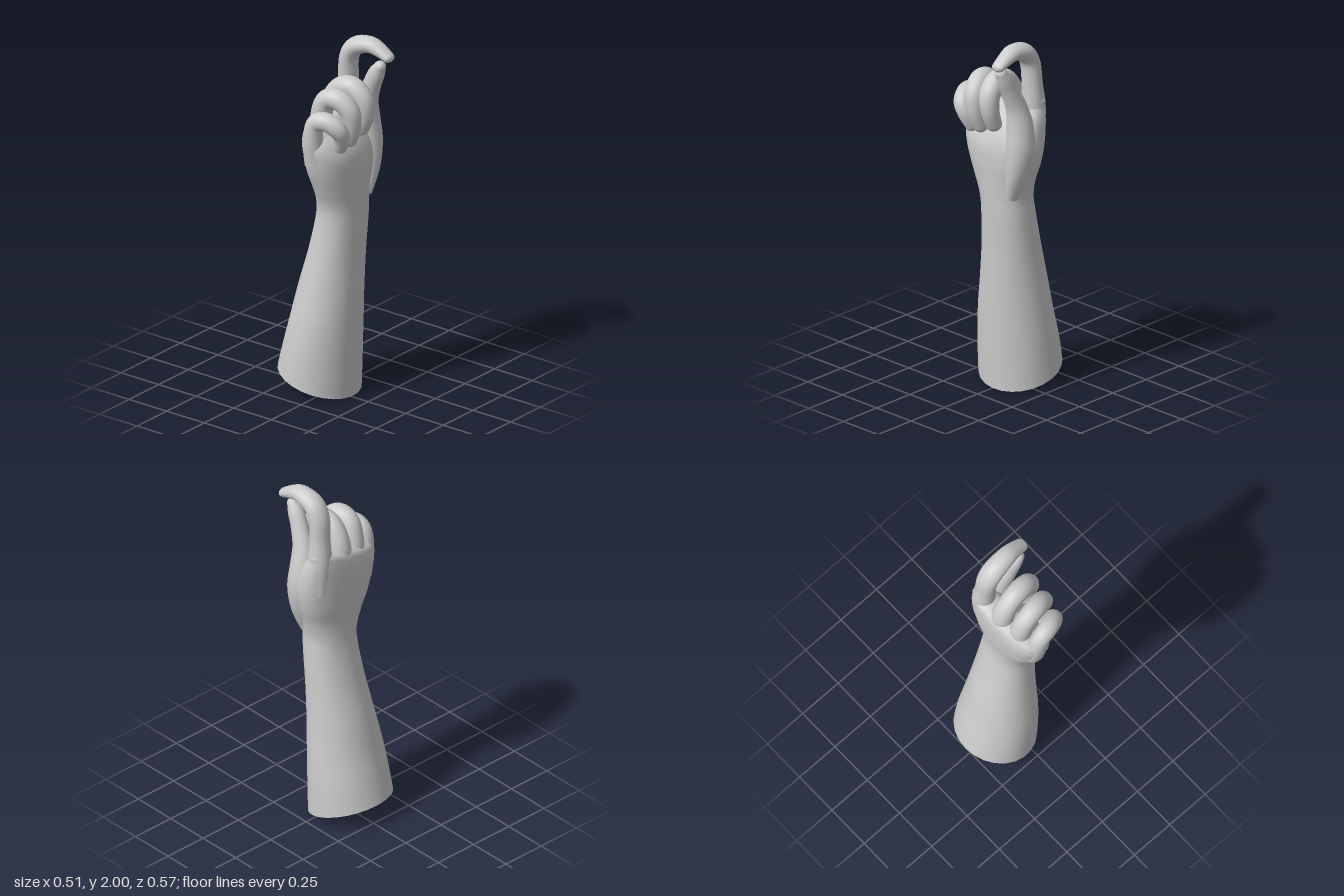
import * as THREE from 'three';

const SIDES = 24;
const skin = new THREE.MeshStandardMaterial({ color: 0xcccccc, side: THREE.DoubleSide });

// Smoothly interpolates rows of numbers, column by column
function smoothRows(rows, steps) {
  const out = [];
  const last = rows.length - 1;
  for (let s = 0; s <= steps; s++) {
    const u = (s / steps) * last;
    const i = Math.min(Math.floor(u), last - 1);
    const t = u - i;
    const p = (k) => rows[Math.max(0, Math.min(last, k))];
    out.push(rows[0].map((_, c) => {
      const a = p(i - 1)[c], b = p(i)[c], d = p(i + 1)[c], e = p(i + 2)[c];
      const m0 = (d - a) / 2, m1 = (e - b) / 2;
      const t2 = t * t, t3 = t2 * t;
      return (2 * t3 - 3 * t2 + 1) * b + (t3 - 2 * t2 + t) * m0 + (3 * t2 - 2 * t3) * d + (t3 - t2) * m1;
    }));
  }
  return out;
}

// Skins a list of closed rings with shared vertices
function loft(name, rings) {
  const pos = [], index = [];
  rings.forEach((ring) => ring.forEach((v) => pos.push(v.x, v.y, v.z)));
  for (let r = 0; r < rings.length - 1; r++) {
    for (let i = 0; i < SIDES; i++) {
      const a = r * SIDES + i, b = r * SIDES + (i + 1) % SIDES;
      index.push(a, b, a + SIDES, b, b + SIDES, a + SIDES);
    }
  }
  const g = new THREE.BufferGeometry();
  g.setAttribute('position', new THREE.Float32BufferAttribute(pos, 3));
  g.setIndex(index);
  g.computeVertexNormals();
  const mesh = new THREE.Mesh(g, skin);
  mesh.name = name;
  return mesh;
}

// Rounded digit swept along rows of [x, y, z, half width, half thickness]
function digit(name, rows) {
  const pts = smoothRows(rows, 30);
  const centre = pts.map((p) => new THREE.Vector3(p[0], p[1], p[2]));
  const rings = [];
  const addRing = (c, T, w, h) => {
    const side = new THREE.Vector3(1, 0, 0).addScaledVector(T, -T.x).normalize();
    const n = new THREE.Vector3().crossVectors(T, side);
    const ring = [];
    for (let i = 0; i < SIDES; i++) {
      const a = (i / SIDES) * Math.PI * 2;
      ring.push(c.clone().addScaledVector(side, Math.cos(a) * w).addScaledVector(n, Math.sin(a) * h));
    }
    rings.push(ring);
  };
  let T;
  pts.forEach((p, i) => {
    T = centre[Math.min(i + 1, 30)].clone().sub(centre[Math.max(i - 1, 0)]).normalize();
    addRing(centre[i], T, p[3], p[4]);
  });
  // Domed fingertip
  const [, , , w, h] = pts[30];
  for (let k = 1; k <= 5; k++) {
    const a = (k / 5) * Math.PI / 2;
    addRing(centre[30].clone().addScaledVector(T, Math.sin(a) * h), T, w * Math.cos(a), h * Math.cos(a));
  }
  return loft(name, rings);
}

// Forearm, wrist and palm from rows of
// [y, left x, right x, back z, front z, slope in x, slope in z, squareness]
function armAndPalm() {
  const rows = [
    [0.07, -0.23, 0.23, -0.285, 0.14, -0.05, -0.31, 2],
    [0.24, -0.222, 0.225, -0.255, 0.148, 0, -0.12, 2],
    [0.42, -0.203, 0.213, -0.215, 0.155, 0, 0, 2],
    [0.6, -0.172, 0.2, -0.175, 0.16, 0, 0, 2],
    [0.8, -0.14, 0.19, -0.12, 0.163, 0, 0, 2.1],
    [1.0, -0.12, 0.183, -0.073, 0.175, 0, 0, 2.2],
    [1.1, -0.127, 0.18, -0.06, 0.18, 0, 0, 2.2],
    [1.2, -0.163, 0.198, -0.06, 0.185, 0, 0, 2.3],
    [1.3, -0.203, 0.23, -0.073, 0.19, 0, 0, 2.4],
    [1.4, -0.227, 0.248, -0.08, 0.185, 0.05, 0, 2.4],
    [1.49, -0.24, 0.242, -0.082, 0.15, 0.15, 0, 2.4],
    [1.56, -0.235, 0.222, -0.078, 0.1, 0.25, 0, 2.4],
    [1.61, -0.2, 0.2, -0.06, 0.06, 0.28, 0, 2.3],
    [1.63, 0, 0, 0, 0, 0.28, 0, 2],
  ];
  const rings = smoothRows(rows, 65).map(([y, x0, x1, z0, z1, sx, sz, e]) => {
    const ring = [];
    const soft = (v) => Math.sign(v) * Math.pow(Math.abs(v), 2 / e);
    for (let i = 0; i < SIDES; i++) {
      const a = (i / SIDES) * Math.PI * 2;
      const dx = soft(Math.cos(a)) * (x1 - x0) / 2;
      const dz = -soft(Math.sin(a)) * (z1 - z0) / 2;
      const x = (x0 + x1) / 2 + dx;
      ring.push(new THREE.Vector3(x, y + sx * x + sz * dz, (z0 + z1) / 2 + dz - sx * 0.3 * x));
    }
    return ring;
  });
  return loft('forearmAndPalm', rings);
}

export function createModel() {
  const model = new THREE.Group();
  model.name = 'hand';
  model.add(armAndPalm());

  // Index finger, raised and hooked forward
  model.add(digit('indexFinger', [
    [0.16, 1.42, 0.0, 0.06, 0.06],
    [0.158, 1.6, -0.008, 0.064, 0.064],
    [0.153, 1.74, -0.002, 0.058, 0.053],
    [0.148, 1.86, 0.008, 0.06, 0.049],
    [0.148, 1.93, 0.055, 0.06, 0.05],
    [0.153, 1.955, 0.14, 0.053, 0.044],
    [0.158, 1.94, 0.2, 0.046, 0.036],
    [0.16, 1.91, 0.26, 0.038, 0.026],
  ]));

  // Three curled fingers
  model.add(digit('middleFinger', [
    [0.02, 1.46, 0.0, 0.06, 0.06],
    [0.015, 1.62, -0.005, 0.062, 0.062],
    [0.015, 1.73, 0.045, 0.055, 0.055],
    [0.022, 1.755, 0.125, 0.057, 0.056],
    [0.032, 1.7, 0.19, 0.056, 0.056],
    [0.04, 1.61, 0.198, 0.05, 0.05],
    [0.043, 1.53, 0.172, 0.043, 0.043],
  ]));
  model.add(digit('ringFinger', [
    [-0.09, 1.42, 0.02, 0.06, 0.06],
    [-0.1, 1.57, 0.015, 0.06, 0.06],
    [-0.108, 1.7, 0.05, 0.054, 0.054],
    [-0.1, 1.725, 0.125, 0.056, 0.055],
    [-0.08, 1.67, 0.188, 0.054, 0.055],
    [-0.065, 1.58, 0.195, 0.048, 0.05],
    [-0.055, 1.495, 0.17, 0.041, 0.042],
  ]));
  model.add(digit('littleFinger', [
    [-0.18, 1.36, 0.04, 0.05, 0.06],
    [-0.198, 1.48, 0.04, 0.053, 0.056],
    [-0.208, 1.6, 0.06, 0.049, 0.05],
    [-0.2, 1.63, 0.12, 0.051, 0.05],
    [-0.175, 1.595, 0.18, 0.048, 0.05],
    [-0.145, 1.54, 0.188, 0.043, 0.045],
    [-0.125, 1.475, 0.165, 0.036, 0.038],
  ]));

  // Thumb rising from the ball of the hand to meet the index finger
  model.add(digit('thumb', [
    [0.13, 1.12, 0.12, 0.035, 0.045],
    [0.165, 1.26, 0.115, 0.06, 0.072],
    [0.178, 1.4, 0.105, 0.076, 0.085],
    [0.17, 1.53, 0.105, 0.07, 0.075],
    [0.158, 1.64, 0.122, 0.054, 0.06],
    [0.148, 1.74, 0.16, 0.046, 0.05],
    [0.143, 1.81, 0.193, 0.042, 0.046],
    [0.14, 1.855, 0.218, 0.034, 0.032],
  ]));
  return model;
}
